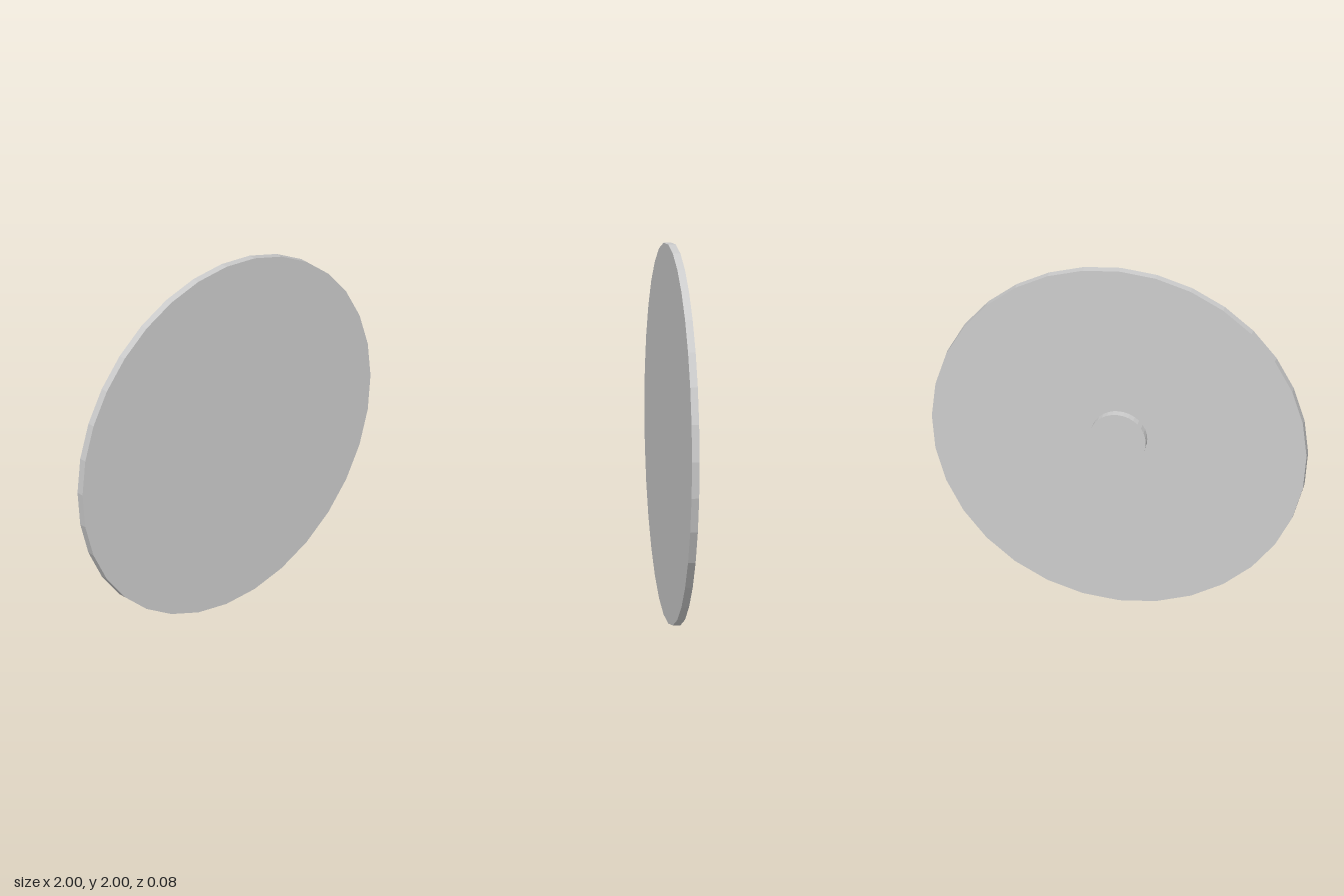
import * as THREE from 'three';

export function createModel() {
  const group = new THREE.Group();
  const material = new THREE.MeshStandardMaterial({ color: 0xcccccc, flatShading: true });
  const thickness = 0.04;

  // Faceted round slab with its axis along z
  const addDisc = (name, radius, z) => {
    const geometry = new THREE.CylinderGeometry(radius, radius, thickness, 32).rotateX(Math.PI / 2);
    const mesh = new THREE.Mesh(geometry, material);
    mesh.name = name;
    mesh.position.set(0, 1, z);
    group.add(mesh);
  };

  addDisc('disc', 1, thickness / 2); // large front plate
  addDisc('rearHub', 0.15, -thickness / 2); // small boss on the back

  return group;
}
